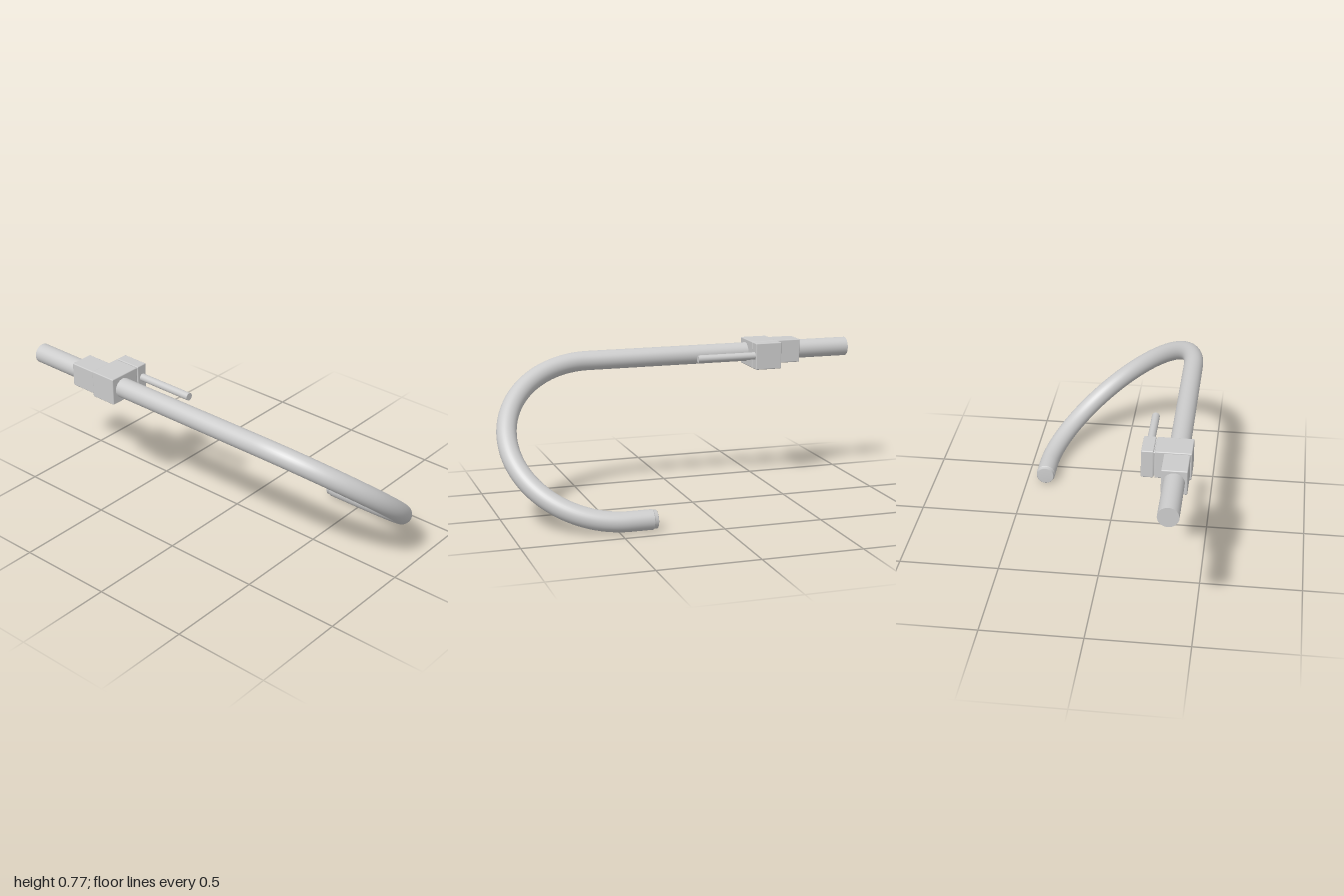
import * as THREE from 'three';
import { RoundedBoxGeometry } from 'three/addons/geometries/RoundedBoxGeometry.js';

const material = new THREE.MeshStandardMaterial({ color: 0xcccccc });
const R = 0.05; // pipe radius
const START = new THREE.Vector3(-0.377, 0.702, -1);
const END = new THREE.Vector3(0.397, 0.052, 0.335);
const BEND_Z = 0.446; // where the straights meet the bend

function add(group, name, geometry, x = 0, y = 0, z = 0) {
  const mesh = new THREE.Mesh(geometry, material);
  mesh.name = name;
  mesh.position.set(x, y, z);
  group.add(mesh);
  return mesh;
}

// Slightly bevelled block given by its limits
function block(group, name, [x0, x1], [y0, y1], [z0, z1]) {
  add(group, name, new RoundedBoxGeometry(x1 - x0, y1 - y0, z1 - z0, 2, 0.005),
    (x0 + x1) / 2, (y0 + y1) / 2, (z0 + z1) / 2);
}

// Straight, tilted half circle, short straight
class HookCurve extends THREE.Curve {
  constructor() {
    super();
    this.from = START.clone().setZ(BEND_Z);
    this.to = END.clone().setZ(BEND_Z);
    this.centre = this.from.clone().add(this.to).multiplyScalar(0.5);
    this.arm = this.from.clone().sub(this.centre);
    this.radius = this.arm.length();
    this.lengths = [BEND_Z - START.z, Math.PI * this.radius, BEND_Z - END.z];
  }
  getPoint(t, target = new THREE.Vector3()) {
    const [a, b, c] = this.lengths;
    const s = t * (a + b + c);
    if (s <= a) return target.copy(START).setZ(START.z + s);
    if (s >= a + b) return target.copy(this.to).setZ(BEND_Z - (s - a - b));
    const angle = (s - a) / this.radius;
    target.copy(this.centre).addScaledVector(this.arm, Math.cos(angle));
    target.z += this.radius * Math.sin(angle);
    return target;
  }
}

export function createModel() {
  const model = new THREE.Group();
  model.name = 'curvedPipe';

  // Bent pipe
  add(model, 'pipe', new THREE.TubeGeometry(new HookCurve(), 140, R, 32, false));

  // Flat rear end
  const rear = add(model, 'rearEnd', new THREE.CircleGeometry(R, 32), START.x, START.y, START.z);
  rear.rotation.y = Math.PI;

  // Short stepped tip closing the hooked end
  const tipProfile = [[R, 0], [0.046, 0.005], [0.046, 0.019], [0.043, 0.022], [0, 0.022]]
    .map(([x, y]) => new THREE.Vector2(x, y));
  const tip = add(model, 'hookTip', new THREE.LatheGeometry(tipProfile, 32), END.x, END.y, END.z);
  tip.rotation.x = -Math.PI / 2;

  // Clamp blocks around the straight part
  const clamp = new THREE.Group();
  clamp.name = 'clamp';
  model.add(clamp);
  block(clamp, 'clampBody', [-0.447, -0.274], [0.63, 0.771], [-0.565, -0.423]);
  block(clamp, 'clampSleeve', [-0.439, -0.317], [0.64, 0.764], [-0.712, -0.555]);
  block(clamp, 'sideJaw', [-0.269, -0.21], [0.63, 0.771], [-0.565, -0.423]);
  block(clamp, 'jawSpacer', [-0.284, -0.26], [0.636, 0.765], [-0.559, -0.429]);

  // Lever rod pointing forward from the side jaw
  const lever = add(clamp, 'leverRod', new THREE.CylinderGeometry(0.0195, 0.0195, 0.33, 24), -0.236, 0.702, -0.273);
  lever.rotation.x = Math.PI / 2;

  return model;
}
